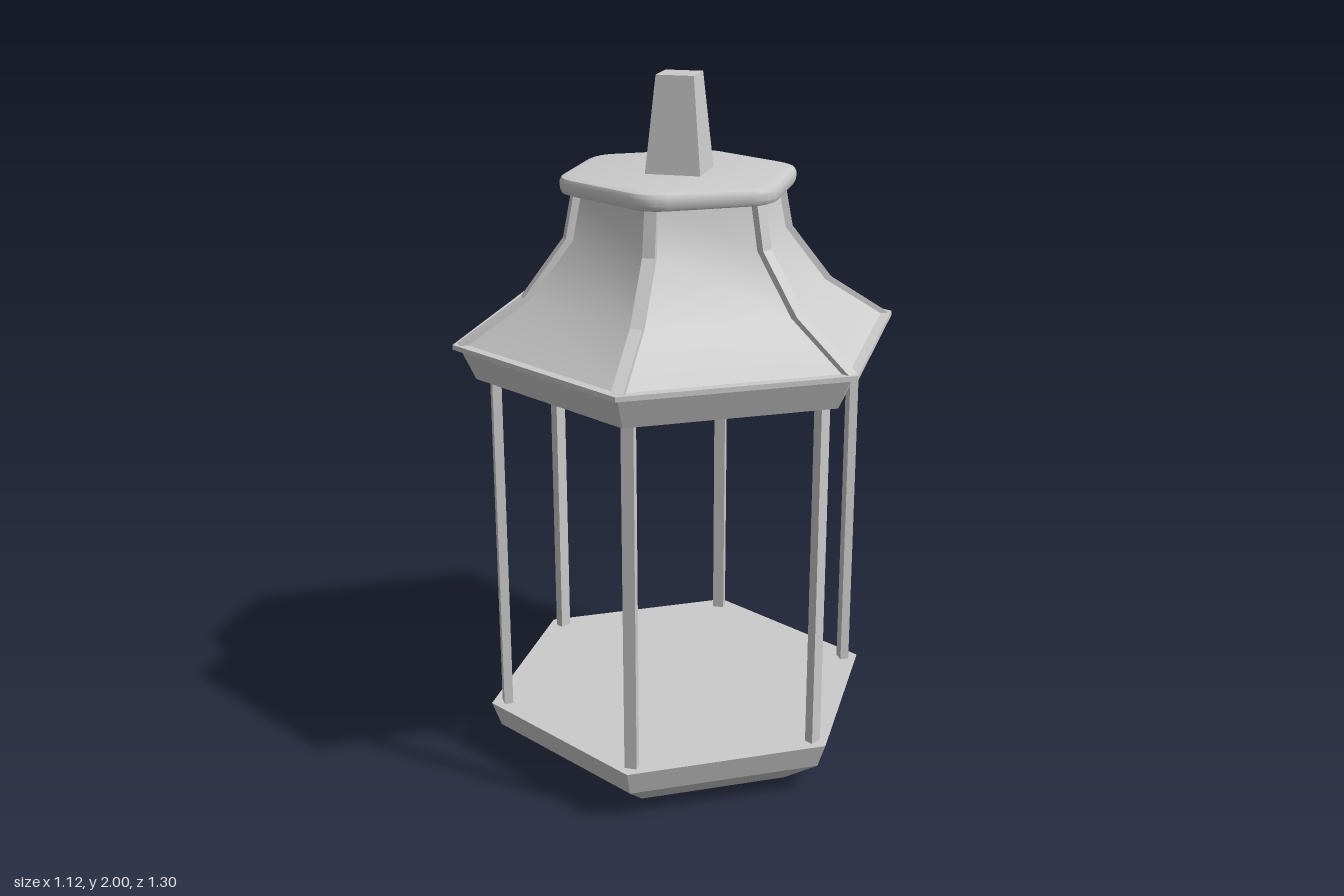
import * as THREE from 'three';
import { toCreasedNormals } from 'three/addons/utils/BufferGeometryUtils.js';

const grey = new THREE.MeshStandardMaterial({ color: 0xcccccc });
const vec = (points) => points.map(([x, y]) => new THREE.Vector2(x, y));

function part(name, geometry, crease = 0.1) {
  const mesh = new THREE.Mesh(toCreasedNormals(geometry, crease), grey);
  mesh.name = name;
  return mesh;
}

// Six-sided solid from a [corner radius, height] profile, corners on the z axis
const hexagonal = (profile) => new THREE.LatheGeometry(vec(profile), 6);

// Repeats a part at the six corners
function atCorners(name, geometry) {
  const group = new THREE.Group();
  group.name = name + 's';
  for (let i = 0; i < 6; i++) {
    const mesh = part(name, geometry);
    mesh.rotation.y = (i * Math.PI) / 3;
    group.add(mesh);
  }
  return group;
}

// Hexagon whose corners are slightly rounded
function roundedHexagon(radius, cut) {
  const corners = [];
  for (let i = 0; i < 6; i++) {
    const a = Math.PI / 2 + (i * Math.PI) / 3;
    corners.push(new THREE.Vector2(radius * Math.cos(a), radius * Math.sin(a)));
  }
  const shape = new THREE.Shape();
  corners.forEach((c, i) => {
    const start = c.clone().lerp(corners[(i + 5) % 6], cut / radius);
    const end = c.clone().lerp(corners[(i + 1) % 6], cut / radius);
    if (i === 0) shape.moveTo(start.x, start.y);
    else shape.lineTo(start.x, start.y);
    shape.quadraticCurveTo(c.x, c.y, end.x, end.y);
  });
  shape.closePath();
  return shape;
}

export function createModel() {
  const model = new THREE.Group();
  model.name = 'lantern';

  // Base with a chamfered underside
  model.add(part('base', hexagonal([[0, 0], [0.43, 0], [0.553, 0.09], [0.58, 0.165], [0, 0.165]])));

  // Corner posts
  const post = new THREE.BoxGeometry(0.035, 1.03, 0.026).translate(0, 0.675, 0.532);
  model.add(atCorners('post', post));

  // Eave with a thin projecting lip
  model.add(part('eave', hexagonal([
    [0, 1.18], [0.586, 1.18], [0.627, 1.27], [0.648, 1.27], [0.648, 1.284], [0, 1.284],
  ])));

  // Flared roof, smooth up each side and sharp at the corners
  const roofLine = [[0.617, 1.284], [0.44, 1.4], [0.317, 1.56], [0.292, 1.69]];
  model.add(part('roof', hexagonal(roofLine), 0.55));

  // Ribs running up the roof corners
  const ribLine = [[0.632, 1.284], [0.45, 1.405], [0.328, 1.563], [0.303, 1.69]];
  const inner = roofLine.map(([r, y]) => [r - 0.015, y]).reverse();
  const rib = new THREE.ExtrudeGeometry(new THREE.Shape(vec([...ribLine, ...inner])), {
    depth: 0.034, bevelEnabled: false,
  });
  rib.translate(0, 0, -0.017).rotateY(-Math.PI / 2);
  model.add(atCorners('rib', rib));

  // Bevelled cap plate
  const cap = new THREE.ExtrudeGeometry(roundedHexagon(0.33, 0.05), {
    depth: 0.02, bevelThickness: 0.015, bevelSize: 0.018, bevelSegments: 2, curveSegments: 4,
  });
  cap.rotateX(-Math.PI / 2).translate(0, 1.7, 0);
  model.add(part('cap', cap, 0.5));

  // Tapered square finial
  const finial = new THREE.CylinderGeometry(0.053 * Math.SQRT2, 0.078 * Math.SQRT2, 0.268, 4);
  finial.rotateY(Math.PI / 4).translate(0, 1.866, 0);
  model.add(part('finial', finial));

  return model;
}
